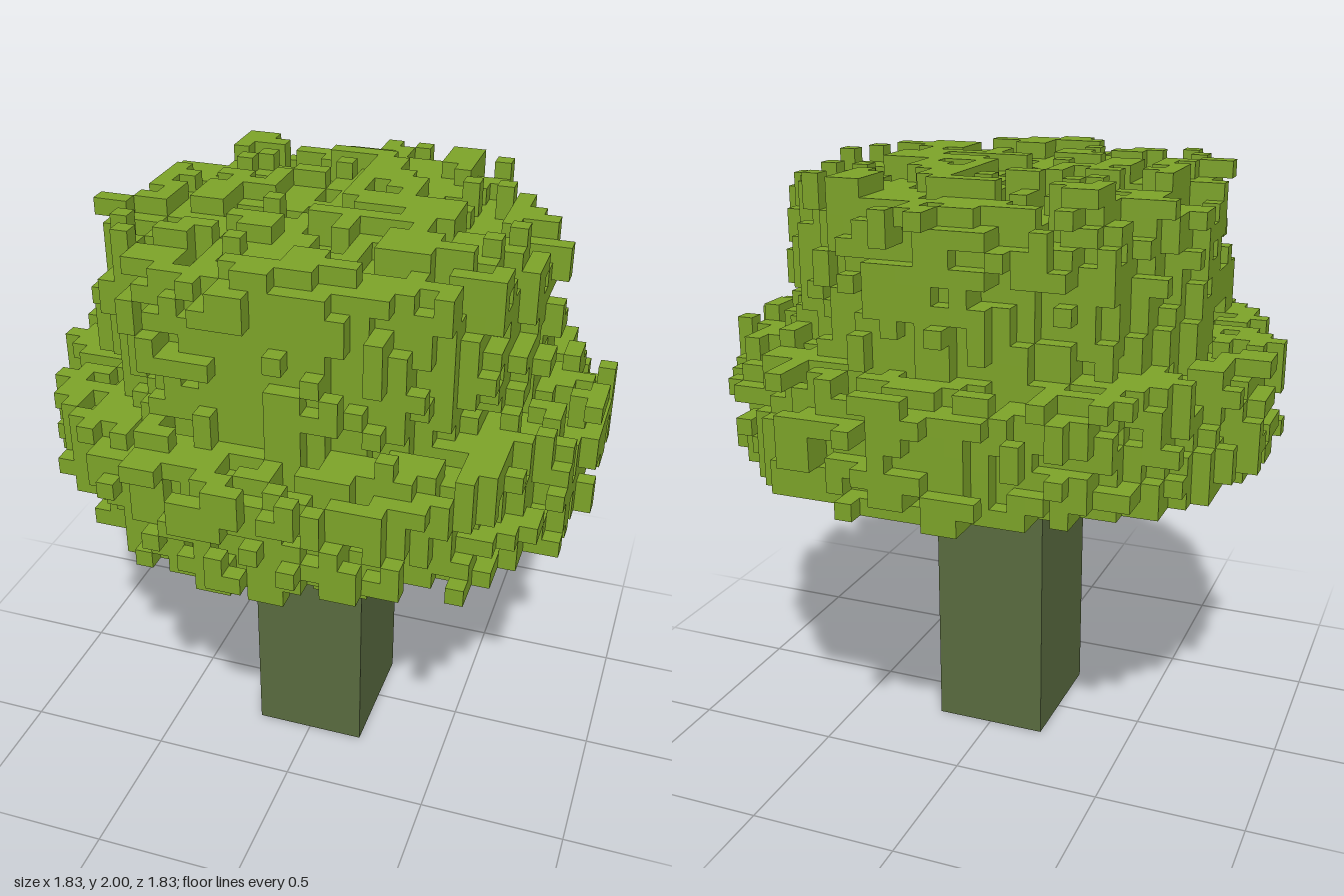
import * as THREE from 'three';

const V = 2 / 36;      // cell size
const N = 33;          // cells across the crown
const LAYERS = 17;     // crown layers
const BASE = 19 * V;   // underside of the crown
const MID = (N - 1) / 2;

function seeded(seed) {
  let s = seed;
  return () => {
    s = (s + 0x6d2b79f5) | 0;
    let t = Math.imul(s ^ (s >>> 15), 1 | s);
    t = (t + Math.imul(t ^ (t >>> 7), 61 | t)) ^ t;
    return ((t ^ (t >>> 14)) >>> 0) / 4294967296;
  };
}

// Random N x N map whose values repeat in short runs
function clumpMap(rand) {
  const map = [];
  for (let n = 0; n < N * N; n++) {
    const p = rand();
    if (p < 0.3 && n >= 1) map.push(map[n - 1]);
    else if (p < 0.55 && n >= N) map.push(map[n - N]);
    else map.push(rand());
  }
  return map;
}

// Cell lookup by column i, row j and layer k
const key = (i, j, k) => (k * N + j) * N + i;
const place = (c) => [c % N, Math.floor(c / N) % N, Math.floor(c / (N * N))];
const filled = (cells, i, j, k) =>
  i >= 0 && j >= 0 && k >= 0 && i < N && j < N && k < LAYERS && cells.has(key(i, j, k));

// Decide which cells of the two-tier crown hold leaves
function growCrown() {
  const rand = seeded(29);
  const top = clumpMap(rand), ledge = clumpMap(rand), under = clumpMap(rand);
  const cells = new Set();
  let wall = clumpMap(rand);
  for (let k = 0; k < LAYERS; k++) {
    // side roughness changes from layer to layer
    const fresh = clumpMap(rand);
    wall = wall.map((w, n) => (rand() < 0.25 ? w : fresh[n]));
    for (let j = 0; j < N; j++) {
      for (let i = 0; i < N; i++) {
        const n = j * N + i;
        const r = Math.hypot(i - MID, j - MID);
        const upperR = (wall[n] < 0.06 ? 13.6 : 13) - wall[n] * 1.8;
        const lowerR = 16.6 - wall[n] ** 1.5 * 2.6;
        // ragged top, a little lower toward its rim
        const rim = r > 10.8 ? 0.12 : 0;
        const topLimit = top[n] < 0.3 - rim ? 17 : top[n] < 0.7 - rim ? 16 : top[n] < 1 - rim ? 15 : 14;
        const ledgeLimit = ledge[n] < 0.06 ? 8 : ledge[n] < 0.6 ? 7 : ledge[n] < 0.85 ? 6 : 5;
        const inUpper = r < upperR && k < topLimit;
        const inLower = r < lowerR && k < ledgeLimit && (k < 7 || r < 14.6);
        // shallow pits around the underside, denser toward the front left
        const pitShare = r < 9.5 ? 0 : i + j > N - 4 ? 0.42 : 0.15;
        const pit = under[n] < pitShare * 0.25 ? 2 : under[n] < pitShare ? 1 : 0;
        if ((inUpper || inLower) && k >= pit) cells.add(key(i, j, k));
      }
    }
  }
  // drop stray cells that touch nothing
  return new Set([...cells].filter((c) => {
    const [i, j, k] = place(c);
    return [-1, 1].some((d) =>
      filled(cells, i + d, j, k) || filled(cells, i, j + d, k) || filled(cells, i, j, k + d));
  }));
}

// Outer faces of all filled cells
function cellGeometry(cells) {
  const pos = [], nor = [], idx = [];
  const corners = [[-1, -1], [1, -1], [1, 1], [-1, 1]];
  for (const c of cells) {
    const [i, j, k] = place(c);
    const centre = [(i - MID) * V, BASE + (k + 0.5) * V, (j - MID) * V];
    for (let axis = 0; axis < 3; axis++) {
      for (const dir of [-1, 1]) {
        const d = [0, 0, 0];
        d[axis] = dir;
        if (filled(cells, i + d[0], j + d[2], k + d[1])) continue;
        const u = (axis + 1) % 3, w = (axis + 2) % 3, first = pos.length / 3;
        for (const [a, b] of corners) {
          const p = [...centre];
          p[axis] += dir * V / 2;
          p[u] += a * dir * V / 2;
          p[w] += b * V / 2;
          pos.push(...p);
          nor.push(...d);
        }
        idx.push(first, first + 1, first + 2, first, first + 2, first + 3);
      }
    }
  }
  const g = new THREE.BufferGeometry();
  g.setAttribute('position', new THREE.Float32BufferAttribute(pos, 3));
  g.setAttribute('normal', new THREE.Float32BufferAttribute(nor, 3));
  g.setIndex(idx);
  return g;
}

export function createModel() {
  const leafGreen = new THREE.MeshStandardMaterial({ color: 0x7ea529 });
  leafGreen.name = 'leafGreen';
  const barkGreen = new THREE.MeshStandardMaterial({ color: 0x5a6c40 });
  barkGreen.name = 'barkGreen';

  const tree = new THREE.Group();
  tree.name = 'tree';

  // Square trunk, one cell deeper toward the front
  const trunk = new THREE.Mesh(new THREE.BoxGeometry(7 * V, BASE, 8 * V), barkGreen);
  trunk.name = 'trunk';
  trunk.position.set(0, BASE / 2, V / 2);
  tree.add(trunk);

  // Rough leafy crown
  const crown = new THREE.Mesh(cellGeometry(growCrown()), leafGreen);
  crown.name = 'crown';
  tree.add(crown);

  return tree;
}
